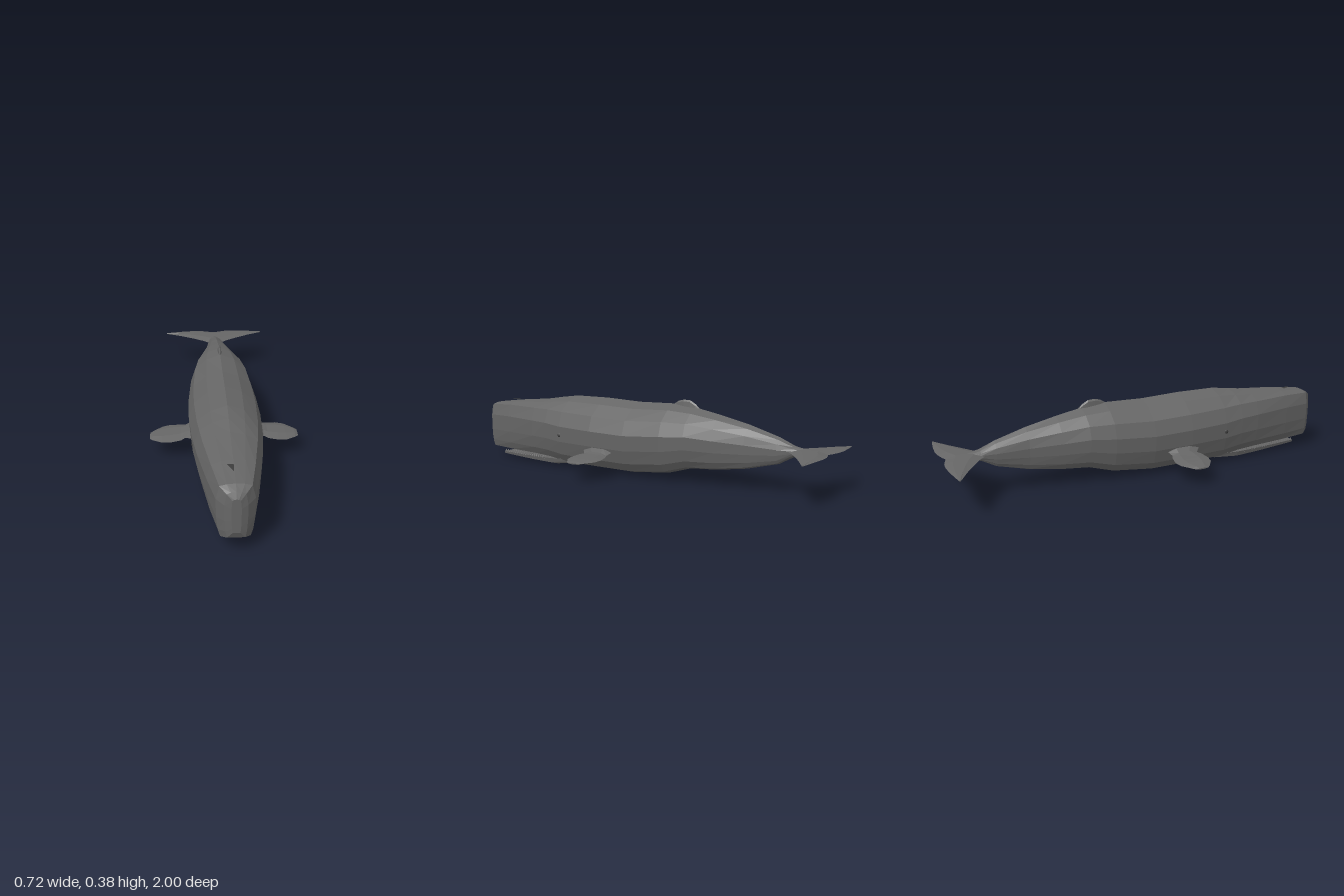
import * as THREE from 'three';

const skin = new THREE.MeshStandardMaterial({ color: 0x666666, flatShading: true });
skin.name = 'grey skin';
const dark = new THREE.MeshStandardMaterial({ color: 0x3c3c3c, flatShading: true, side: THREE.DoubleSide });
dark.name = 'dark grey';

// Skin a list of rings (clockwise seen from +z, running towards -z) and cap both ends
function loft(rings) {
  const n = rings[0].length, pos = [], idx = [];
  for (const ring of rings) for (const p of ring) pos.push(...p);
  for (let i = 0; i < rings.length - 1; i++) {
    for (let j = 0; j < n; j++) {
      const k = (j + 1) % n;
      const a = i * n + j, b = i * n + k, c = a + n, d = b + n;
      idx.push(a, b, c, b, d, c);
    }
  }
  [rings[0], rings[rings.length - 1]].forEach((ring, end) => {
    const mid = [0, 1, 2].map(k => ring.reduce((s, p) => s + p[k], 0) / n);
    const m = pos.length / 3, base = end ? (rings.length - 1) * n : 0;
    pos.push(...mid);
    for (let j = 0; j < n; j++) {
      const k = (j + 1) % n;
      if (end) idx.push(m, base + j, base + k);
      else idx.push(m, base + k, base + j);
    }
  });
  const g = new THREE.BufferGeometry();
  g.setAttribute('position', new THREE.Float32BufferAttribute(pos, 3));
  g.setIndex(idx);
  g.computeVertexNormals();
  return g;
}

// Half outlines [width share, height share] from top to bottom
const ROUND = [[0, 1], [0.47, 0.92], [0.85, 0.77], [1, 0.565], [0.97, 0.35], [0.85, 0.16], [0.68, 0.05], [0.35, 0.01], [0, 0]];
const BOXY = [[0, 1], [0.45, 0.99], [0.82, 0.96], [1, 0.72], [0.98, 0.38], [0.9, 0.14], [0.78, 0], [0.4, 0], [0, 0]];

function bodyRing([z, top, bottom, w, box]) {
  const half = ROUND.map(([x, y], i) => [
    THREE.MathUtils.lerp(x, BOXY[i][0], box) * w,
    bottom + THREE.MathUtils.lerp(y, BOXY[i][1], box) * (top - bottom), z]);
  const other = half.slice(1, -1).reverse().map(([x, y]) => [-x, y, z]);
  return [...half, ...other];
}

// Flat fin growing sideways; sections are [x, y, back z, front z, thickness]
function sideFin(sections, side) {
  const rings = sections.map(([x, y, z0, z1, t]) => {
    const c = (z0 + z1) / 2, h = (z1 - z0) / 2;
    const ring = [[-1, 0], [-0.5, 0.45], [0.4, 0.5], [1, 0], [0.4, -0.5], [-0.5, -0.45]]
      .map(([u, v]) => [side * (c + u * h), y + v * t, -x]);
    return side > 0 ? ring : ring.reverse();
  });
  return loft(rings).rotateY(-side * Math.PI / 2);
}

export function createModel() {
  const whale = new THREE.Group();
  whale.name = 'whale';
  const add = (name, geometry, material = skin, parent = whale) => {
    const mesh = new THREE.Mesh(geometry, material);
    mesh.name = name;
    parent.add(mesh);
    return mesh;
  };

  // Body: [z, top, bottom, half width, boxiness]
  add('body', loft([
    [0.998, 0.265, 0.11, 0.02, 1],
    [0.985, 0.29, 0.08, 0.047, 1],
    [0.95, 0.307, 0.064, 0.079, 1],
    [0.8, 0.325, 0.058, 0.11, 0.8],
    [0.6, 0.342, 0.05, 0.142, 0.5],
    [0.5, 0.357, 0.04, 0.153, 0.3],
    [0.4, 0.37, 0.02, 0.162, 0.1],
    [0.2, 0.37, 0.015, 0.171, 0],
    [0, 0.361, 0.012, 0.168, 0],
    [-0.2, 0.365, 0.03, 0.152, 0],
    [-0.32, 0.352, 0.064, 0.13, 0],
    [-0.45, 0.327, 0.07, 0.098, 0],
    [-0.6, 0.293, 0.09, 0.063, 0],
    [-0.75, 0.248, 0.127, 0.044, 0],
    [-0.82, 0.216, 0.165, 0.034, 0],
    [-0.9, 0.199, 0.18, 0.02, 0]
  ].map(bodyRing)));

  // Lower jaw: [z, top, bottom, half width]
  const jaw = [
    [0.89, 0.034, 0.014, 0.05], [0.8, 0.035, 0.01, 0.064], [0.65, 0.037, 0.004, 0.088],
    [0.5, 0.042, 0.002, 0.112], [0.36, 0.05, 0.02, 0.118]
  ];
  add('lowerJaw', loft(jaw.map(([z, t, b, w]) => [
    [0, t, z], [w, t, z], [w * 0.95, b + 0.4 * (t - b), z], [w * 0.5, b + 0.003, z], [0, b, z],
    [-w * 0.5, b + 0.003, z], [-w * 0.95, b + 0.4 * (t - b), z], [-w, t, z]
  ])));

  // Two rows of small teeth
  const teeth = new THREE.Group();
  teeth.name = 'teeth';
  whale.add(teeth);
  const tooth = new THREE.ConeGeometry(0.006, 0.016, 5);
  for (const side of [-1, 1]) {
    for (let i = 0; i < 20; i++) {
      const z = 0.88 - i * 0.0175;
      const x = 0.046 + (0.89 - z) * 0.155;
      add('tooth', tooth, skin, teeth).position.set(side * x, 0.042, z);
    }
  }

  for (const side of [-1, 1]) {
    const label = side > 0 ? 'left' : 'right';
    // Paddle flippers
    add(label + 'Flipper', sideFin([
      [0.14, 0.122, 0.06, 0.25, 0.05],
      [0.165, 0.117, 0.07, 0.235, 0.036],
      [0.19, 0.108, 0.076, 0.212, 0.024],
      [0.21, 0.104, 0.066, 0.228, 0.022],
      [0.26, 0.098, 0.055, 0.236, 0.022],
      [0.3, 0.094, 0.063, 0.228, 0.02],
      [0.345, 0.09, 0.1, 0.195, 0.015],
      [0.36, 0.088, 0.115, 0.178, 0.006]
    ], side));
    // Tail flukes
    add(label + 'Fluke', sideFin([
      [0, 0.19, -0.975, -0.79, 0.028],
      [0.03, 0.19, -0.985, -0.8, 0.026],
      [0.07, 0.191, -0.996, -0.835, 0.022],
      [0.12, 0.191, -1, -0.87, 0.018],
      [0.2, 0.19, -0.993, -0.922, 0.012],
      [0.285, 0.187, -0.98, -0.972, 0.005]
    ], side));
    // Eyes
    const eye = add(label + 'Eye', new THREE.SphereGeometry(0.011, 8, 6), dark);
    eye.position.set(side * 0.157, 0.178, 0.4);
    eye.scale.x = 0.6;
  }

  // Dorsal hump: [z, top, half thickness]
  add('dorsalFin', loft([
    [-0.195, 0.364, 0.005], [-0.22, 0.38, 0.009], [-0.25, 0.387, 0.011],
    [-0.285, 0.385, 0.011], [-0.315, 0.368, 0.009], [-0.335, 0.35, 0.004]
  ].map(([z, t, w]) => [[0, t, z], [w * 0.6, t - 0.008, z], [w, 0.335, z], [-w, 0.335, z], [-w * 0.6, t - 0.008, z]])));

  // Blowhole, set left of centre line on the viewer's side
  const slit = new THREE.Shape([[-0.03, 0.83], [0, 0.835], [-0.004, 0.885]].map(p => new THREE.Vector2(...p)));
  const blowhole = add('blowhole', new THREE.ShapeGeometry(slit).rotateX(Math.PI / 2), dark);
  blowhole.position.y = 0.3245;

  return whale;
}
